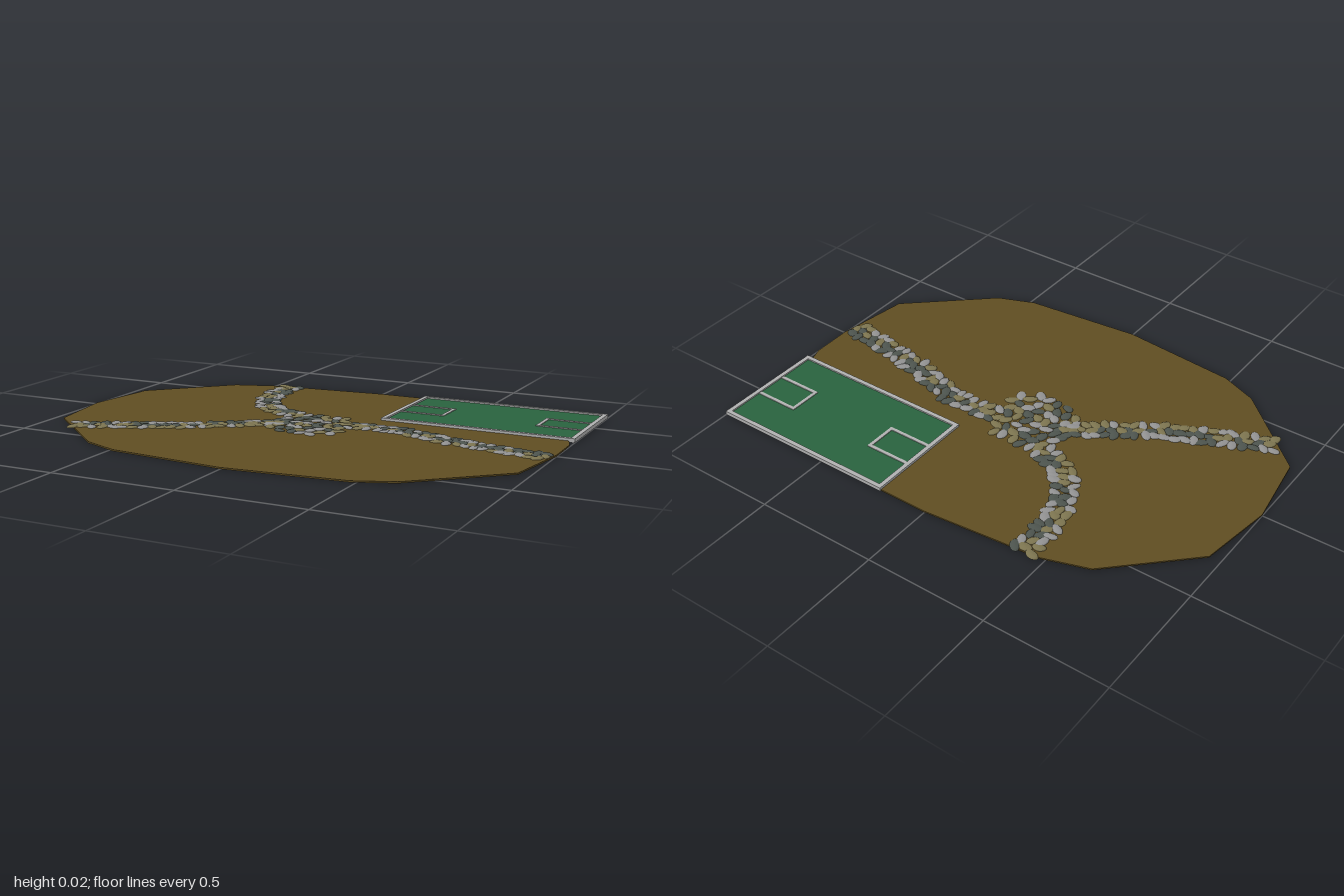
import * as THREE from 'three';
import { mergeGeometries } from 'three/addons/utils/BufferGeometryUtils.js';

const GROUND_TOP = 0.006;

function material(color) {
  return new THREE.MeshStandardMaterial({ color });
}

// Small seeded generator for pebble variation
function seeded(seed) {
  return () => {
    seed = (seed * 16807) % 2147483647;
    return seed / 2147483647;
  };
}

// Flat slab between two x and two z positions
function slab(name, x0, x1, z0, z1, y0, y1, mat) {
  const mesh = new THREE.Mesh(new THREE.BoxGeometry(x1 - x0, y1 - y0, z1 - z0), mat);
  mesh.position.set((x0 + x1) / 2, (y0 + y1) / 2, (z0 + z1) / 2);
  mesh.name = name;
  return mesh;
}

// Earth plate: faceted outline given as x, z
function createGround() {
  const outline = [
    [-1, 0], [-0.955, 0.3], [-0.63, 0.59], [-0.48, 0.65], [0, 0.695], [0.48, 0.65],
    [0.63, 0.59], [0.955, 0.3], [1, 0], [0.998, -0.17], [0.955, -0.3], [0.63, -0.59],
    [0.48, -0.65], [0.24, -0.695], [0, -0.695], [-0.48, -0.65], [-0.66, -0.59], [-0.955, -0.3],
  ];
  const shape = new THREE.Shape(outline.map(([x, z]) => new THREE.Vector2(x, -z)));
  const geometry = new THREE.ExtrudeGeometry(shape, { depth: GROUND_TOP, bevelEnabled: false });
  geometry.rotateX(-Math.PI / 2);
  const ground = new THREE.Mesh(geometry, material(0x5f4d22));
  ground.name = 'ground';
  return ground;
}

// Sports field with raised border and a box line at each end
function createField() {
  const field = new THREE.Group();
  field.name = 'sportsField';
  const x0 = 0.205, x1 = 1, z0 = -0.7, z1 = -0.23, w = 0.018, top = 0.016;
  const grey = material(0xb0b0b0);
  field.add(slab('turf', x0 + w, x1 - w, z0 + w, z1 - w, 0.003, 0.01, material(0x29633e)));
  field.add(slab('backBorder', x0, x1, z0, z0 + w, 0, top, grey));
  field.add(slab('frontBorder', x0, x1, z1 - w, z1, 0, top, grey));
  field.add(slab('rightBorder', x0, x0 + w, z0 + w, z1 - w, 0, top, grey));
  field.add(slab('leftBorder', x1 - w, x1, z0 + w, z1 - w, 0, top, grey));

  const mid = (x0 + x1) / 2, line = 0.014, lineTop = 0.013;
  for (const side of [-1, 1]) {
    const outer = mid + side * ((x1 - x0) / 2 - w);
    const inner = mid + side * 0.192;
    const lo = Math.min(outer, inner), hi = Math.max(outer, inner);
    const box = new THREE.Group();
    box.name = side < 0 ? 'rightGoalBox' : 'leftGoalBox';
    box.add(slab('backLine', lo, hi, -0.535, -0.535 + line, 0.008, lineTop, grey));
    box.add(slab('frontLine', lo, hi, -0.407, -0.407 + line, 0.008, lineTop, grey));
    const end = inner + side * line;
    box.add(slab('endLine', Math.min(inner, end), Math.max(inner, end),
      -0.535 + line, -0.407, 0.008, lineTop, grey));
    field.add(box);
  }
  return field;
}

// Domed pebble, slightly bent like a bean
function pebble(x, z, angle, length, width, height, bend) {
  const profile = [[1, 0], [0.97, 0.5], [0.78, 0.88], [0, 1]].map(([r, y]) => new THREE.Vector2(r, y));
  const geometry = new THREE.LatheGeometry(profile, 12);
  const p = geometry.attributes.position;
  for (let i = 0; i < p.count; i++) p.setZ(i, p.getZ(i) + bend * p.getX(i) ** 2);
  geometry.scale(length, height, width);
  geometry.rotateY(angle);
  geometry.translate(x, GROUND_TOP - 0.002, z);
  geometry.computeVertexNormals();
  return geometry;
}

// Three pebbled paths meeting in a rounded plaza
function createPaving() {
  const random = seeded(4711);
  const jitter = (amount) => (random() - 0.5) * 2 * amount;
  const paving = new THREE.Group();
  paving.name = 'stonePaving';
  const shades = [['paleStones', 0x929292], ['darkStones', 0x4d544e], ['tanStones', 0x7d7550]]
    .map(([name, color]) => ({ name, color, stones: [] }));
  let count = 0;
  const place = (x, z) => {
    const shade = shades[(count++ + Math.floor(random() * 2)) % 3];
    shade.stones.push(pebble(x, z, random() * Math.PI, 0.025 + random() * 0.008,
      0.016 + random() * 0.005, 0.006 + random() * 0.002, jitter(0.3)));
  };

  const paths = [
    [[-0.41, -0.645], [-0.41, -0.5], [-0.36, -0.33], [-0.27, -0.22], [-0.14, -0.16]],
    [[-0.835, 0.375], [-0.6, 0.27], [-0.42, 0.18], [-0.27, 0.08], [-0.14, -0.01]],
    [[0.15, -0.09], [0.35, -0.09], [0.55, -0.03], [0.75, 0.01], [0.965, 0.045]],
  ];
  for (const points of paths) {
    const curve = new THREE.CatmullRomCurve3(points.map(([x, z]) => new THREE.Vector3(x, 0, z)));
    const steps = Math.round(curve.getLength() / 0.038);
    for (let i = 0; i <= steps; i++) {
      const at = curve.getPointAt(i / steps);
      const along = curve.getTangentAt(i / steps);
      for (const row of [-1, 0, 1]) {
        const off = row * 0.034 + jitter(0.006);
        const slide = (row === 0 ? 0.012 : -0.006) + jitter(0.006);
        place(at.x - along.z * off + along.x * slide, at.z + along.x * off + along.z * slide);
      }
    }
  }

  // Plaza in staggered rows
  for (let row = 0; row < 8; row++) {
    for (let col = -4; col <= 4; col++) {
      const x = col * 0.043 + (row % 2) * 0.021 - 0.01;
      const z = -0.175 + row * 0.04;
      if (Math.hypot(x + 0.01, z + 0.035) < 0.165) place(x + jitter(0.006), z + jitter(0.006));
    }
  }

  for (const { name, color, stones } of shades) {
    const mesh = new THREE.Mesh(mergeGeometries(stones), material(color));
    mesh.name = name;
    paving.add(mesh);
  }
  return paving;
}

export function createModel() {
  const model = new THREE.Group();
  model.name = 'parkGround';
  model.add(createGround(), createField(), createPaving());
  return model;
}
